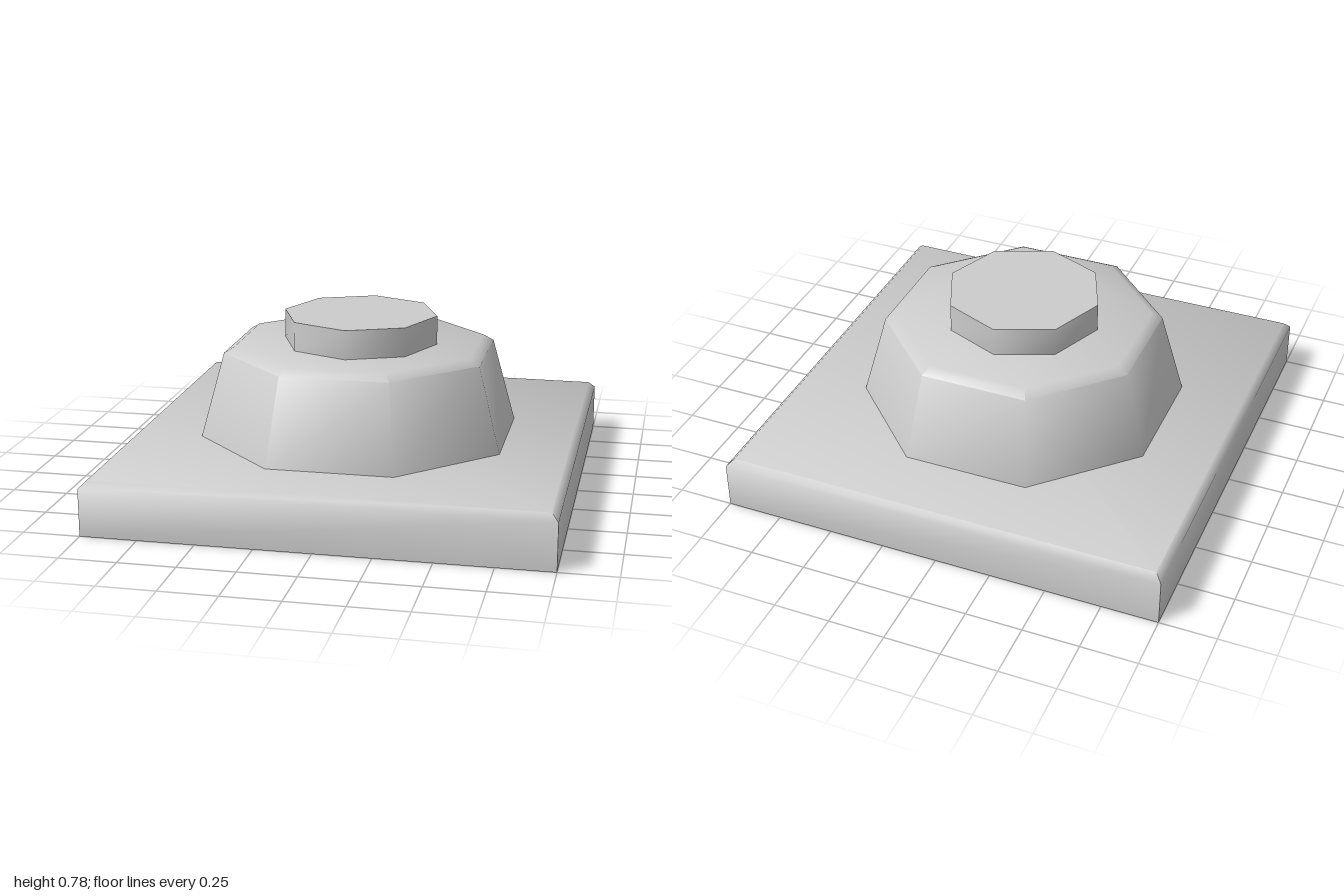
import * as THREE from 'three';
import { toCreasedNormals } from 'three/addons/utils/BufferGeometryUtils.js';

// Stacks polygon rings [radius, y] into an open-bottomed solid with a flat top
function ringSolid(sides, rings, turn) {
  const positions = [], index = [];
  for (const [r, y] of rings) {
    for (let i = 0; i < sides; i++) {
      const a = turn + (i / sides) * Math.PI * 2;
      positions.push(r * Math.sin(a), y, r * Math.cos(a));
    }
  }
  for (let k = 0; k < rings.length - 1; k++) {
    for (let i = 0; i < sides; i++) {
      const j = (i + 1) % sides, lo = k * sides, hi = lo + sides;
      index.push(lo + i, lo + j, hi + j, lo + i, hi + j, hi + i);
    }
  }
  const top = (rings.length - 1) * sides;
  for (let i = 1; i < sides - 1; i++) index.push(top, top + i, top + i + 1);
  const g = new THREE.BufferGeometry();
  g.setAttribute('position', new THREE.Float32BufferAttribute(positions, 3));
  g.setIndex(index);
  return toCreasedNormals(g, THREE.MathUtils.degToRad(50));
}

// Same, but radii are half-widths across the flats and flats face the axes
function flatSided(sides, rings) {
  const k = 1 / Math.cos(Math.PI / sides);
  return ringSolid(sides, rings.map(([r, y]) => [r * k, y]), Math.PI / sides);
}

export function createModel() {
  const group = new THREE.Group();
  const grey = new THREE.MeshStandardMaterial({ color: 0xcccccc, side: THREE.DoubleSide });
  grey.name = 'light grey';

  const add = (name, geometry) => {
    const mesh = new THREE.Mesh(geometry, grey);
    mesh.name = name;
    group.add(mesh);
  };

  // Square plate with bevelled top edge, hollow underneath
  add('basePlate', flatSided(4, [[1, 0], [1, 0.21], [0.97, 0.24]]));
  // Tapered octagonal body with bevelled shoulder
  add('taperedBody', flatSided(8, [[0.675, 0.24], [0.575, 0.622], [0.53, 0.65]]));
  // Small octagonal cap with its corners on the axes
  add('topCap', ringSolid(8, [[0.35, 0.65], [0.35, 0.78]], 0));

  return group;
}
